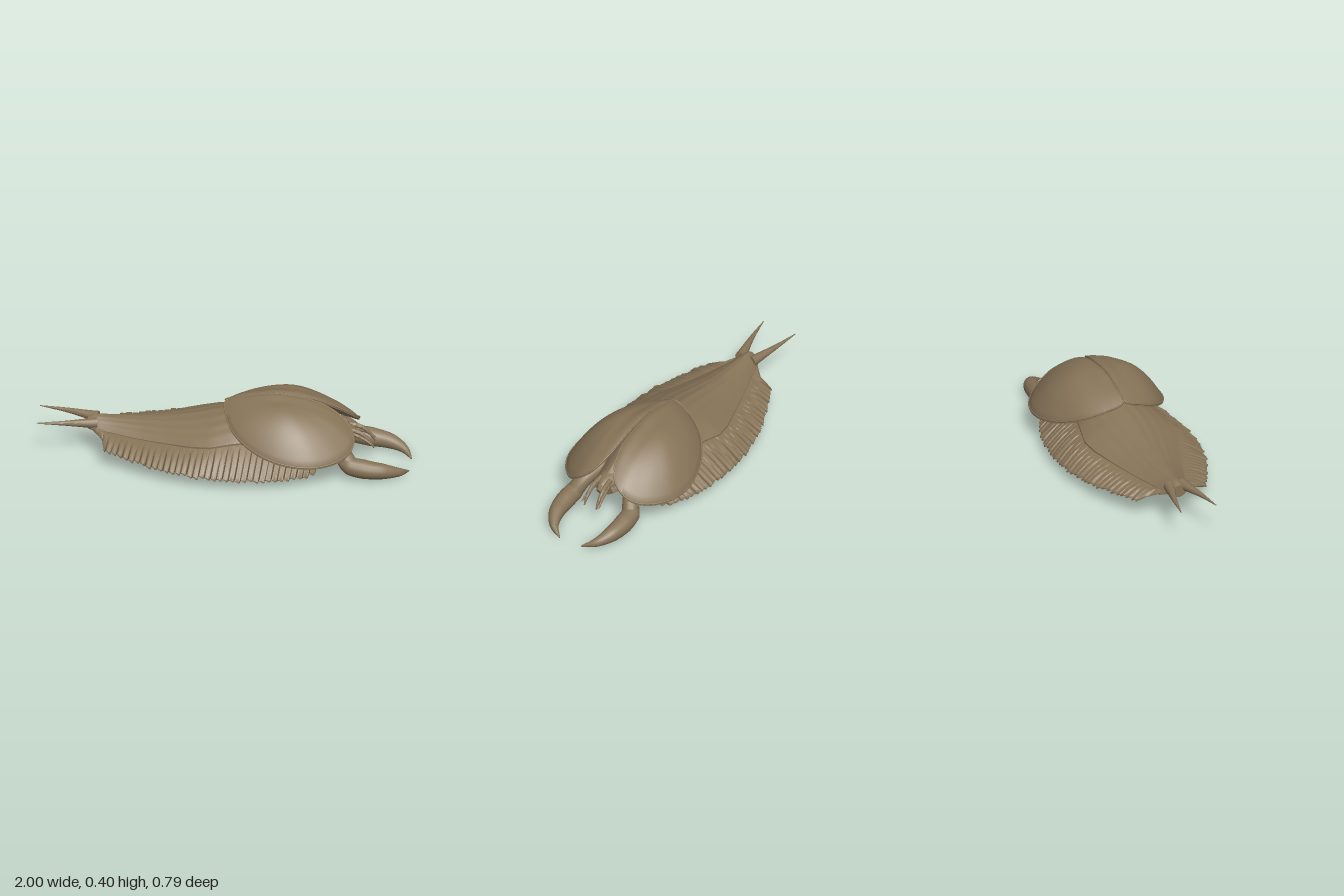
import * as THREE from 'three';
import { toCreasedNormals } from 'three/addons/utils/BufferGeometryUtils.js';

const V = (x, y, z) => new THREE.Vector3(x, y, z);

// Straight-line lookup in a table of [x, a, b, ...] stations
function sample(table, x) {
  let i = 0;
  while (i < table.length - 2 && x > table[i + 1][0]) i++;
  const a = table[i], b = table[i + 1];
  const t = THREE.MathUtils.clamp((x - a[0]) / (b[0] - a[0]), 0, 1);
  return a.slice(1).map((v, k) => THREE.MathUtils.lerp(v, b[k + 1], t));
}

// Closed solid through a list of closed loops, capped at both ends and facing outward
function loft(loops, crease = 0.9) {
  const n = loops[0].length;
  const cap = (l) => {
    const c = V(0, 0, 0);
    l.forEach((p) => c.addScaledVector(p, 1 / n));
    return l.map(() => c);
  };
  const rows = [cap(loops[0]), ...loops, cap(loops[loops.length - 1])];
  const pts = rows.flat(), index = [];
  for (let i = 0; i < rows.length - 1; i++) {
    for (let j = 0; j < n; j++) {
      const a = i * n + j, b = i * n + (j + 1) % n;
      index.push(a, b, a + n, b, b + n, a + n);
    }
  }
  let volume = 0;
  for (let i = 0; i < index.length; i += 3) {
    volume += pts[index[i]].dot(V(0, 0, 0).crossVectors(pts[index[i + 1]], pts[index[i + 2]]));
  }
  if (volume < 0) index.reverse();
  const g = new THREE.BufferGeometry().setFromPoints(pts);
  g.setIndex(index);
  return toCreasedNormals(g, crease);
}

// Round limb along [x, y, z, radius] points
function limb(points, s, segments = 20, sides = 16) {
  const curve = new THREE.CatmullRomCurve3(points.map((p) => V(p[0], p[1], p[2] * s)));
  const frames = curve.computeFrenetFrames(segments);
  const loops = [];
  for (let i = 0; i <= segments; i++) {
    const t = i / segments;
    const r = sample(points.map((p, k) => [k / (points.length - 1), p[3]]), t)[0];
    const c = curve.getPoint(t);
    loops.push(Array.from({ length: sides }, (_, j) => {
      const a = (j / sides) * Math.PI * 2;
      return c.clone().addScaledVector(frames.normals[i], Math.cos(a) * r)
        .addScaledVector(frames.binormals[i], Math.sin(a) * r);
    }));
  }
  return loft(loops);
}

// Back plate stations: x, half width, ridge height, edge height
const BODY = [
  [-0.73, 0.045, 0.208, 0.172], [-0.7, 0.062, 0.222, 0.165], [-0.6, 0.09, 0.218, 0.16],
  [-0.45, 0.14, 0.22, 0.158], [-0.3, 0.19, 0.236, 0.165], [-0.15, 0.24, 0.265, 0.178],
  [-0.05, 0.257, 0.288, 0.188], [0.08, 0.23, 0.318, 0.205], [0.25, 0.19, 0.345, 0.2],
  [0.42, 0.15, 0.335, 0.185], [0.55, 0.11, 0.29, 0.175], [0.68, 0.06, 0.225, 0.17],
];
// Side flap stations: x, outer reach, outer height, belly height
const FLAP = [
  [-0.7, 0.06, 0.152, 0.145], [-0.64, 0.12, 0.13, 0.138], [-0.61, 0.205, 0.105, 0.135],
  [-0.5, 0.26, 0.095, 0.135], [-0.3, 0.345, 0.078, 0.135], [-0.1, 0.387, 0.066, 0.135],
  [0.08, 0.395, 0.058, 0.135], [0.3, 0.37, 0.055, 0.135], [0.45, 0.32, 0.056, 0.135],
  [0.53, 0.265, 0.06, 0.135],
];

function backPlate() {
  const loops = [];
  for (let i = 0; i <= 60; i++) {
    const x = -0.73 + (i / 60) * 1.41;
    const [w, top, edge] = sample(BODY, x);
    const loop = [];
    for (let j = 0; j <= 40; j++) {
      const t = j / 20 - 1;
      const wrinkle = 0.002 * Math.cos(t * 24 + Math.sin(x * 9)) * (1 - t * t) * Math.min(1, w * 5);
      loop.push(V(x, edge + (top - edge) * (1 - Math.abs(t) ** 1.6) + wrinkle, t * w));
    }
    for (let j = 8; j >= 0; j--) {
      const t = j / 4 - 1;
      loop.push(V(x, edge - 0.01 - 0.025 * (1 - t * t), t * w));
    }
    loops.push(loop);
  }
  return loft(loops, 0.7);
}

function flap(s) {
  const ribs = 38, per = 8, loops = [], n = 12;
  for (let i = 0; i <= ribs * per; i++) {
    const x = -0.7 + (i / (ribs * per)) * 1.23;
    const phase = (i % per) / per, rib = Math.floor(i / per);
    const [w, , edge] = sample(BODY, x);
    const [reach, low, belly] = sample(FLAP, x);
    const size = THREE.MathUtils.clamp((reach - 0.06) * 6, 0, 1);
    const slit = phase === 0 ? 0.028 + 0.01 * Math.sin(rib * 3.1) : 0.004 + 0.004 * Math.sin(rib * 2.4);
    const out = reach - slit * size;
    const wave = 0.003 * Math.sin(phase * Math.PI * 2) * size;
    const jitter = 0.004 * Math.sin(rib * 1.7) * size;
    const inner = Math.min(w * 0.93, out * 0.95);
    const loop = [];
    // upper face from the plate edge to the fringe
    for (let j = 0; j <= n; j++) {
      const v = j / n;
      const y = THREE.MathUtils.lerp(edge - 0.003, low + jitter + 0.008, v) + 0.012 * Math.sin(v * Math.PI);
      loop.push(V(x - 0.015 * v * v * size, y + wave * v * v, s * THREE.MathUtils.lerp(inner, out, v)));
    }
    // ribbed underside back to the belly
    for (let j = n; j >= 0; j--) {
      const v = j / n;
      const y = THREE.MathUtils.lerp(belly, low + jitter, v ** 1.3);
      loop.push(V(x - 0.015 * v * v * size, y + wave * 1.8 * Math.sqrt(v), s * out * v));
    }
    loops.push(loop);
  }
  return loft(loops, 0.8);
}

// Shell outline: x, y, z
const RIM = [
  [0.01, 0.345, 0.005], [0.022, 0.3, 0.11], [0.08, 0.25, 0.215], [0.2, 0.195, 0.305],
  [0.35, 0.158, 0.352], [0.5, 0.143, 0.344], [0.62, 0.146, 0.282], [0.69, 0.168, 0.207],
  [0.711, 0.208, 0.14], [0.685, 0.255, 0.075], [0.61, 0.315, 0.03], [0.5, 0.365, 0.01],
  [0.38, 0.39, 0.006], [0.25, 0.4, 0.005], [0.12, 0.376, 0.004],
];

function wingShell(s) {
  const curve = new THREE.CatmullRomCurve3(RIM.map((p) => V(p[0], p[1], p[2] * s)), true);
  const rim = curve.getPoints(72).slice(0, 72);
  const peak = V(0.32, 0.387, 0.1 * s);
  const ring = (r, drop) => rim.map((p) => V(
    THREE.MathUtils.lerp(peak.x, p.x, r),
    THREE.MathUtils.lerp(peak.y, p.y, r ** 1.8) + 0.036 * r * r * (1 - r * r) - drop,
    THREE.MathUtils.lerp(peak.z, p.z, r)));
  const loops = [];
  for (let i = 1; i <= 14; i++) loops.push(ring(i / 14, 0));
  for (let i = 14; i >= 1; i -= 1) loops.push(ring(i / 14, 0.012));
  return [loft(loops), new THREE.TubeGeometry(curve, 90, 0.004, 8, true)];
}

export function createModel() {
  const model = new THREE.Group();
  const brown = new THREE.MeshStandardMaterial({ color: 0x877458 });
  brown.name = 'shell brown';
  const add = (name, geometry) => {
    const mesh = new THREE.Mesh(geometry, brown);
    mesh.name = name;
    model.add(mesh);
    return mesh;
  };

  add('backPlate', backPlate());
  const head = add('head', new THREE.SphereGeometry(1, 32, 20));
  head.scale.set(0.11, 0.058, 0.065);
  head.position.set(0.6, 0.19, 0);
  add('snout', limb([[0.64, 0.2, 0, 0.04], [0.69, 0.19, 0, 0.03], [0.725, 0.175, 0, 0.014]], 1));

  for (const s of [1, -1]) {
    const side = s > 0 ? 'left' : 'right';
    const [shell, bead] = wingShell(-s);
    add(side + 'WingShell', shell);
    add(side + 'ShellRim', bead);
    add(side + 'Flap', flap(-s));
    // front limbs
    add(side + 'Arm', limb([[0.46, 0.19, 0.08, 0.04], [0.56, 0.185, 0.115, 0.042],
      [0.64, 0.15, 0.15, 0.044], [0.69, 0.09, 0.178, 0.045]], -s));
    add(side + 'Claw', limb([[0.645, 0.115, 0.165, 0.03], [0.685, 0.085, 0.182, 0.05],
      [0.77, 0.067, 0.187, 0.052], [0.87, 0.053, 0.175, 0.042], [0.95, 0.032, 0.135, 0.024],
      [0.997, 0.009, 0.07, 0.004]], -s, 30));
    // feelers
    add(side + 'InnerFeeler', limb([[0.66, 0.222, 0.03, 0.014], [0.73, 0.205, 0.035, 0.012],
      [0.78, 0.165, 0.037, 0.009], [0.807, 0.122, 0.038, 0.004]], -s));
    add(side + 'OuterFeeler', limb([[0.68, 0.2, 0.035, 0.011], [0.75, 0.175, 0.045, 0.009],
      [0.81, 0.135, 0.056, 0.003]], -s));
    // tail
    add(side + 'TailSpike', limb([[-0.68, 0.187, 0.036, 0.03], [-0.74, 0.189, 0.05, 0.024],
      [-0.85, 0.195, 0.076, 0.013], [-1, 0.2, 0.102, 0.002]], -s));
  }
  return model;
}
